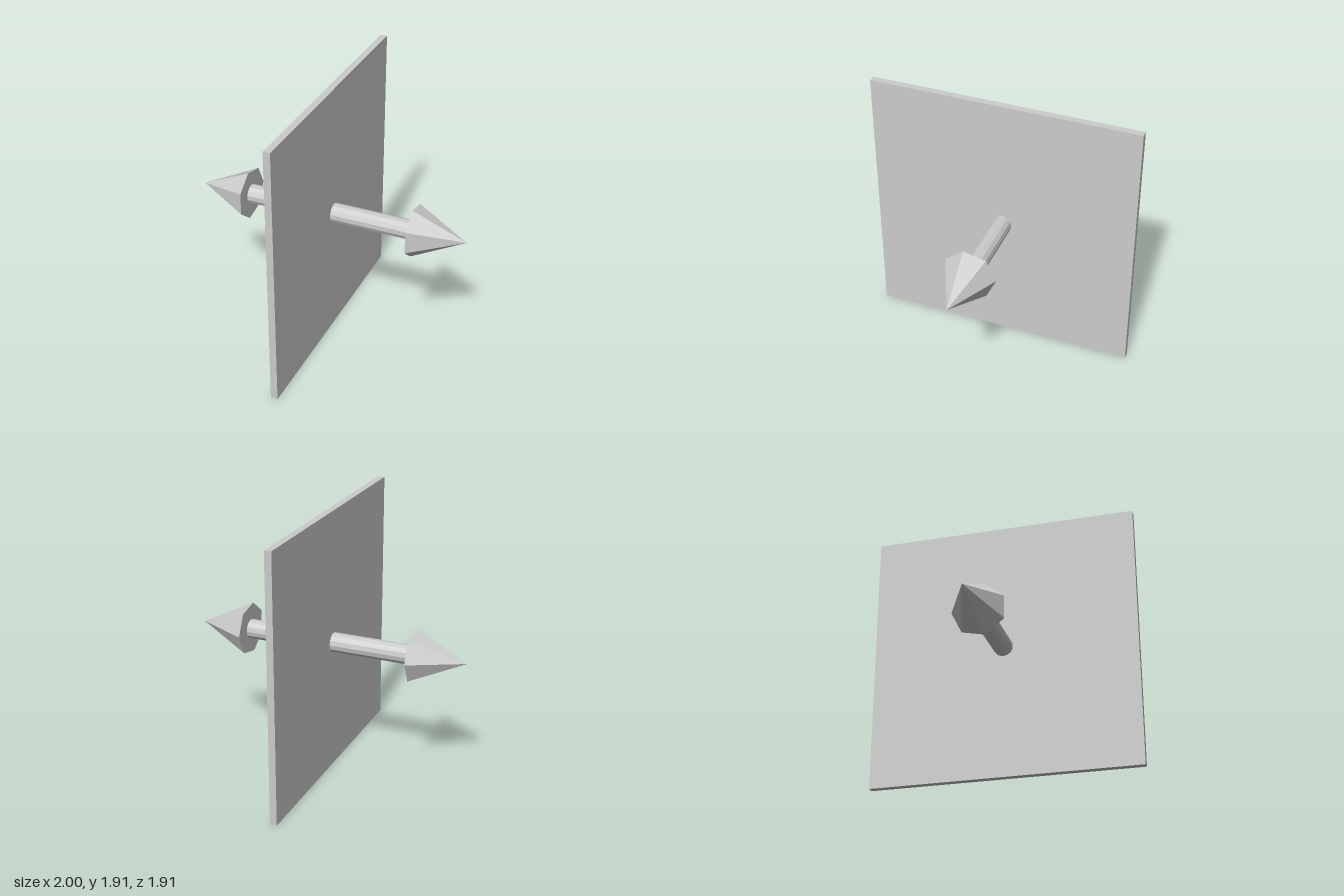
import * as THREE from 'three';

export function createModel() {
  const model = new THREE.Group();
  const material = new THREE.MeshStandardMaterial({ color: 0xcccccc, flatShading: true });
  const centreY = 0.955;

  function add(name, geometry, x = 0) {
    const mesh = new THREE.Mesh(geometry, material);
    mesh.name = name;
    mesh.position.set(x, centreY, 0);
    model.add(mesh);
  }

  // Thin square plate standing across the x axis
  add('plate', new THREE.BoxGeometry(0.05, 1.91, 1.91));

  // Shaft through the plate, with one ridge facing the back
  const shaft = new THREE.CylinderGeometry(0.07, 0.07, 1.24, 13, 1, false, Math.PI);
  add('shaft', shaft.rotateZ(-Math.PI / 2));

  // Seven-sided arrowhead at each end
  for (const side of [1, -1]) {
    const head = new THREE.ConeGeometry(0.19, 0.38, 7, 1, false, Math.PI);
    head.rotateZ(-side * Math.PI / 2);
    add(side > 0 ? 'leftArrowhead' : 'rightArrowhead', head, side * 0.81);
  }

  return model;
}
